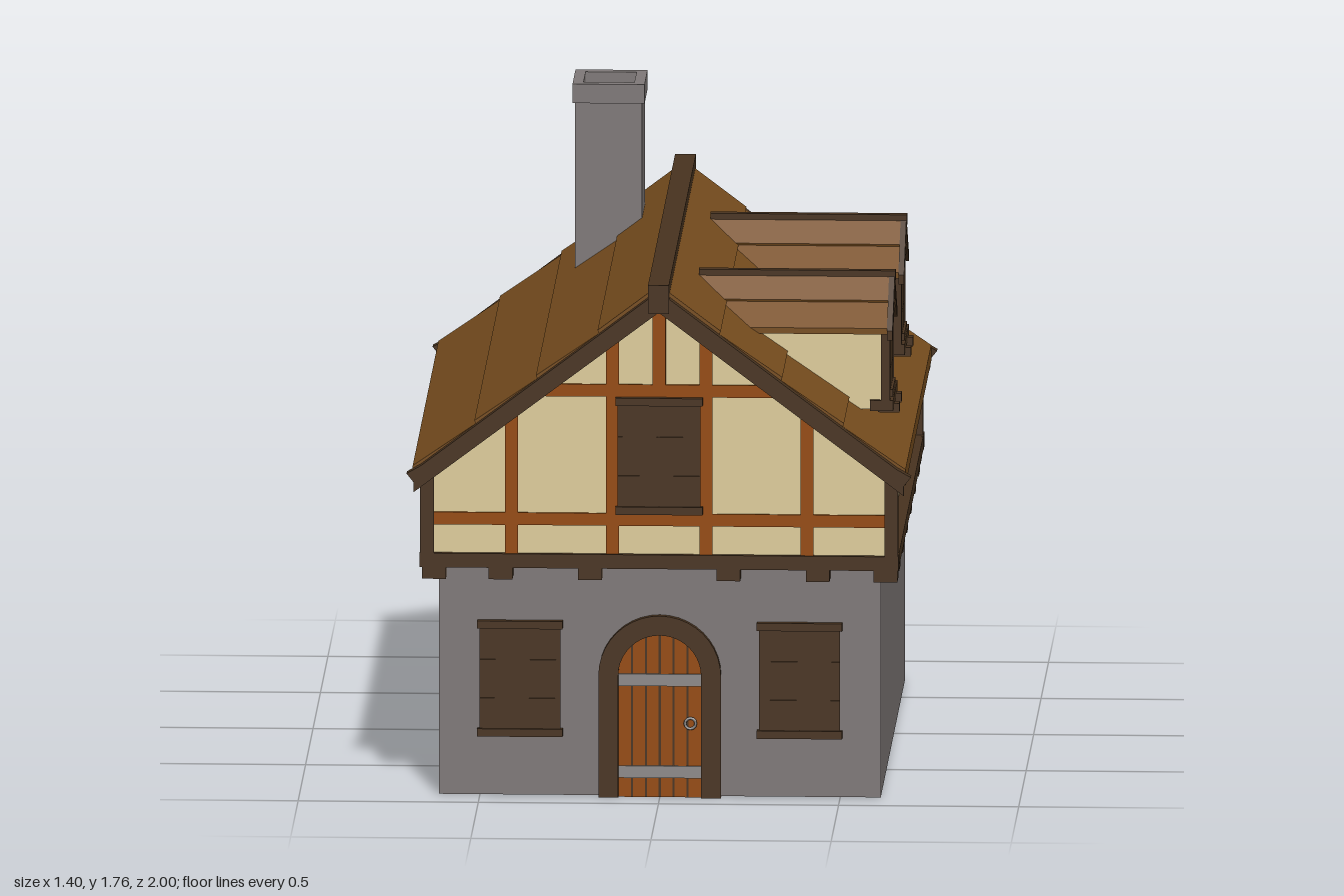
import * as THREE from 'three';

const mat = (name, color) => {
  const m = new THREE.MeshStandardMaterial({ color });
  m.name = name;
  return m;
};
const stone = mat('stone', 0x7f7978);
const plaster = mat('plaster', 0xdecd9c);
const timber = mat('orange timber', 0x954a06);
const dark = mat('dark timber', 0x48331f);
const shingle = mat('roof boards', 0x774d1e);
const iron = mat('iron', 0x8d8a89);

function add(parent, name, geometry, material) {
  const m = new THREE.Mesh(geometry, material);
  m.name = name;
  parent.add(m);
  return m;
}

// Box given by its limits
function box(parent, name, material, x0, x1, y0, y1, z0, z1) {
  const g = new THREE.BoxGeometry(x1 - x0, y1 - y0, z1 - z0);
  g.translate((x0 + x1) / 2, (y0 + y1) / 2, (z0 + z1) / 2);
  return add(parent, name, g, material);
}

// Outline or shape in x, y pushed from z0 to z1
function slab(parent, name, material, outline, z0, z1) {
  const shape = Array.isArray(outline)
    ? new THREE.Shape(outline.map(([x, y]) => new THREE.Vector2(x, y))) : outline;
  const g = new THREE.ExtrudeGeometry(shape, { depth: z1 - z0, bevelEnabled: false, curveSegments: 10 });
  g.translate(0, 0, z0);
  return add(parent, name, g, material);
}

// House-shaped outline: half width, bottom, eave and apex heights
const gable = (w, bottom, eave, apex) => [[-w, bottom], [w, bottom], [w, eave], [0, apex], [-w, eave]];

// Chevron cross-section: apex height, slope, half width, vertical thickness
const chevron = (apex, slope, w, t) => [
  [0, apex], [-w, apex - slope * w], [-w, apex - slope * w - t],
  [0, apex - t], [w, apex - slope * w - t], [w, apex - slope * w]];

// Roof cross-section with overlapping, slightly undercut boards
function boardedRoof(apex, slope, w, t, rows, step) {
  const top = [];
  for (let i = 0; i < rows; i++) {
    const a = w * i / rows, b = w * (i + 1) / rows;
    top.push(i ? [a - step * 0.4, apex - slope * a - step] : [0, apex], [b, apex - slope * b]);
  }
  const left = top.slice(1).reverse().map(([x, y]) => [-x, y]);
  const end = apex - slope * w - t;
  return [...left, ...top, [w, end], [0, apex - t], [-w, end]];
}

const SLOPE = 0.755;
const roofY = x => 1.455 - SLOPE * Math.abs(x);

// Closed shutters with rails, facing +z
function shutters(parent, x, w, y0, y1, z) {
  const g = new THREE.Group();
  g.name = 'shutteredWindow';
  parent.add(g);
  box(g, 'shutterBack', dark, x - w / 2, x + w / 2, y0, y1, z - 0.01, z + 0.01);
  const h = (y1 - y0) / 3;
  for (const c of [x - w / 4, x + w / 4])
    for (let i = 0; i < 3; i++)
      box(g, 'shutterBoard', dark, c - w / 4 + 0.001, c + w / 4 - 0.001,
        y0 + i * h + 0.001, y0 + (i + 1) * h - 0.001, z, z + 0.013);
  for (const y of [y0, y1 - 0.022])
    box(g, 'windowRail', dark, x - w / 2 - 0.006, x + w / 2 + 0.006, y, y + 0.022, z - 0.01, z + 0.02);
}

function archShape(w, spring) {
  const s = new THREE.Shape();
  s.moveTo(w, 0);
  s.lineTo(w, spring);
  s.absarc(0, spring, w, 0, Math.PI, false);
  s.lineTo(-w, 0);
  s.closePath();
  return s;
}

function buildDoor(parent) {
  const g = new THREE.Group();
  g.name = 'door';
  parent.add(g);
  const spring = 0.345;
  slab(g, 'doorLeaf', timber, archShape(0.118, spring), 0.89, 0.906);
  const frame = new THREE.Shape();
  frame.moveTo(0.17, 0);
  frame.lineTo(0.17, spring);
  frame.absarc(0, spring, 0.17, 0, Math.PI, false);
  frame.lineTo(-0.17, 0);
  frame.lineTo(-0.115, 0);
  frame.lineTo(-0.115, spring);
  frame.absarc(0, spring, 0.115, Math.PI, 0, true);
  frame.lineTo(0.115, 0);
  frame.closePath();
  slab(g, 'doorFrame', dark, frame, 0.89, 0.92);
  for (const x of [-0.077, -0.038, 0, 0.038, 0.077])
    box(g, 'plankGap', dark, x - 0.003, x + 0.003, 0,
      spring + Math.sqrt(0.115 ** 2 - x * x), 0.9, 0.907);
  for (const y of [0.055, 0.315])
    box(g, 'hingeStrap', iron, -0.114, 0.114, y, y + 0.034, 0.9, 0.912);
  add(g, 'doorHandle', new THREE.TorusGeometry(0.015, 0.004, 6, 12), iron).position.set(0.085, 0.21, 0.912);
}

// Timber framing of one gable end, facing +z
function gableFrame(z) {
  const g = new THREE.Group();
  g.name = 'gableFrame';
  const a = z - 0.01, b = z + 0.008;
  box(g, 'lowerRail', timber, -0.63, 0.63, 0.775, 0.81, a, b - 0.002);
  box(g, 'upperRail', timber, -0.33, 0.33, 1.14, 1.175, a, b - 0.002);
  for (const x of [-0.41, -0.13, 0.13, 0.41])
    box(g, 'stud', timber, x - 0.018, x + 0.018, 0.69, roofY(x) - 0.04, a, b);
  box(g, 'kingPost', timber, -0.018, 0.018, 1.17, 1.41, a, b);
  box(g, 'sillBeam', dark, -0.665, 0.665, 0.655, 0.695, z - 0.05, z + 0.015);
  for (const x of [-0.625, -0.44, -0.192, 0.192, 0.44, 0.628])
    box(g, 'joistEnd', dark, x - 0.033, x + 0.033, 0.622, 0.658, z - 0.07, z + 0.012);
  slab(g, 'bargeBoards', dark, chevron(1.446, SLOPE, 0.68, 0.06), z + 0.008, z + 0.04);
  for (const s of [-1, 1]) {
    const pts = [[0.66, roofY(0.66) - 0.009], [0.66, 0.886], [0.672, 0.89], [0.7, 0.925]];
    slab(g, 'bargeEnd', dark, pts.map(([x, y]) => [s * x, y]), z + 0.009, z + 0.04);
  }
  return g;
}

// Dormer built facing +z, then turned to face +x
function buildDormer(z) {
  const g = new THREE.Group();
  g.name = 'dormer';
  slab(g, 'dormerWalls', plaster, gable(0.13, 1.037, 1.275, 1.378), 0.2, 0.61);
  slab(g, 'dormerRoof', shingle, boardedRoof(1.398, 0.82, 0.155, 0.017, 2, 0.006), 0.09, 0.624);
  slab(g, 'dormerBarge', dark, chevron(1.399, 0.82, 0.163, 0.026), 0.618, 0.634);
  box(g, 'dormerRidge', dark, -0.012, 0.012, 1.375, 1.405, 0.09, 0.636);
  for (const s of [-1, 1]) {
    box(g, 'dormerPost', dark, s * 0.13 - 0.011, s * 0.13 + 0.011, 1.04, 1.28, 0.601, 0.626);
    box(g, 'sillBracket', dark, s * 0.07 - 0.018, s * 0.07 + 0.018, 1.02, 1.045, 0.59, 0.65);
  }
  box(g, 'dormerSill', dark, -0.142, 0.142, 1.035, 1.064, 0.57, 0.635);
  shutters(g, 0, 0.16, 1.062, 1.307, 0.612);
  g.rotation.y = Math.PI / 2;
  g.position.z = z;
  return g;
}

// Lean-to at the back: local x runs backwards, local z runs across
function buildLeanTo() {
  const g = new THREE.Group();
  g.name = 'leanTo';
  const top = (x, d) => 0.63 - (x - 0.72) * 0.8 - d;
  const wall = [[0.7, 0], [0.94, 0], [0.94, top(0.94, 0.03)], [0.7, top(0.7, 0.03)]];
  slab(g, 'leanToSide', stone, wall, -0.37, -0.34);
  slab(g, 'leanToSide', stone, wall, 0.34, 0.37);
  box(g, 'leanToBack', stone, 0.91, 0.939, 0, top(0.94, 0.03), -0.369, 0.369);
  box(g, 'leanToFloor', shingle, 0.71, 0.92, 0.003, 0.02, -0.35, 0.35);
  slab(g, 'leanToRoof', shingle, [[0.7, top(0.7, 0)], [0.84, top(0.84, 0)], [0.837, top(0.84, 0.008)],
    [0.975, top(0.975, 0.002)], [0.965, top(0.965, 0.035)], [0.7, top(0.7, 0.035)]], -0.37, 0.37);
  for (const z of [-0.385, 0.357])
    slab(g, 'leanToRail', dark, [[0.71, top(0.71, -0.008)], [1.0, top(1.0, -0.008)],
      [0.975, top(0.975, 0.04)], [0.71, top(0.71, 0.04)]], z, z + 0.028);
  g.rotation.y = Math.PI / 2;
  return g;
}

// Square hollow section standing upright
function squareTube(parent, name, w, d, hole, y0, y1) {
  const rect = (a, b, P) => new P([[-a, -b], [a, -b], [a, b], [-a, b]].map(([x, y]) => new THREE.Vector2(x, y)));
  const s = rect(w, d, THREE.Shape);
  s.holes.push(rect(hole, hole, THREE.Path));
  slab(parent, name, stone, s, y0, y1).geometry.rotateX(-Math.PI / 2);
}

export function createModel() {
  const house = new THREE.Group();
  house.name = 'house';

  // Ground floor
  box(house, 'stoneWalls', stone, -0.613, 0.613, 0.003, 0.67, -0.72, 0.9);
  buildDoor(house);
  for (const s of [-1, 1]) shutters(house, s * 0.388, 0.225, 0.17, 0.497, 0.9);

  // Coloured patches on the underside, outlined in x and z
  const patches = [
    ['plasterPatch', plaster, [[0.48, -0.3], [0.07, -0.6], [-0.33, -0.41], [-0.55, 0.64], [0, 0.25]]],
    ['plasterStrip', plaster, [[0.61, 0.26], [0.23, 0.49], [-0.12, 0.77], [-0.12, 0.87], [0.23, 0.59], [0.61, 0.36]]],
    ['timberStrip', timber, [[0.58, -0.27], [-0.06, 0.36], [-0.06, 0.42], [0.58, -0.21]]],
    ['darkStrip', dark, [[-0.06, 0.36], [-0.55, 0.8], [-0.55, 0.88], [-0.06, 0.42]]],
  ];
  for (const [name, m, outline] of patches)
    slab(house, name, m, outline, -0.004, 0).geometry.rotateX(Math.PI / 2);

  // Upper floor
  slab(house, 'plasterWalls', plaster, gable(0.63, 0.66, 0.93, 1.405), -0.76, 0.94);
  house.add(gableFrame(0.94));
  shutters(house, 0, 0.23, 0.81, 1.14, 0.945);
  const back = gableFrame(0.765);
  back.rotation.y = Math.PI;
  house.add(back);

  // Timber framing along both long sides
  for (const s of [-1, 1]) {
    const side = (name, m, a, b, y0, y1, z0, z1) =>
      box(house, name, m, Math.min(s * a, s * b), Math.max(s * a, s * b), y0, y1, z0, z1);
    side('sideSill', dark, 0.605, 0.664, 0.656, 0.694, -0.775, 0.95);
    side('sideRail', timber, 0.62, 0.637, 0.775, 0.81, -0.75, 0.93);
    for (const z of [0.625, -0.45]) side('sideStud', timber, 0.62, 0.639, 0.69, 0.92, z - 0.018, z + 0.018);
    for (const z of [0.933, -0.757]) side('cornerPost', dark, 0.625, 0.663, 0.657, 0.935, z - 0.02, z + 0.02);
    for (const z of [0.76, 0.51, 0.23, -0.03, -0.31, -0.55])
      side('sideJoistEnd', dark, 0.59, 0.66, 0.622, 0.658, z - 0.034, z + 0.034);
  }

  // Main roof and ridge beam
  slab(house, 'mainRoof', shingle, boardedRoof(1.458, SLOPE, 0.684, 0.045, 4, 0.009), -0.775, 0.95);
  box(house, 'ridgeBeam', dark, -0.029, 0.029, 1.387, 1.467, -0.82, 1.0);

  for (const z of [0.455, -0.32]) house.add(buildDormer(z));
  house.add(buildLeanTo());

  // Chimney
  const chimney = new THREE.Group();
  chimney.name = 'chimney';
  chimney.position.set(-0.194, 0, -0.446);
  squareTube(chimney, 'chimneyShaft', 0.093, 0.092, 0.07, 1.2, 1.71);
  squareTube(chimney, 'chimneyCap', 0.1, 0.101, 0.0705, 1.706, 1.76);
  box(chimney, 'chimneyFill', stone, -0.071, 0.071, 1.2, 1.6, -0.071, 0.071);
  house.add(chimney);
  return house;
}
